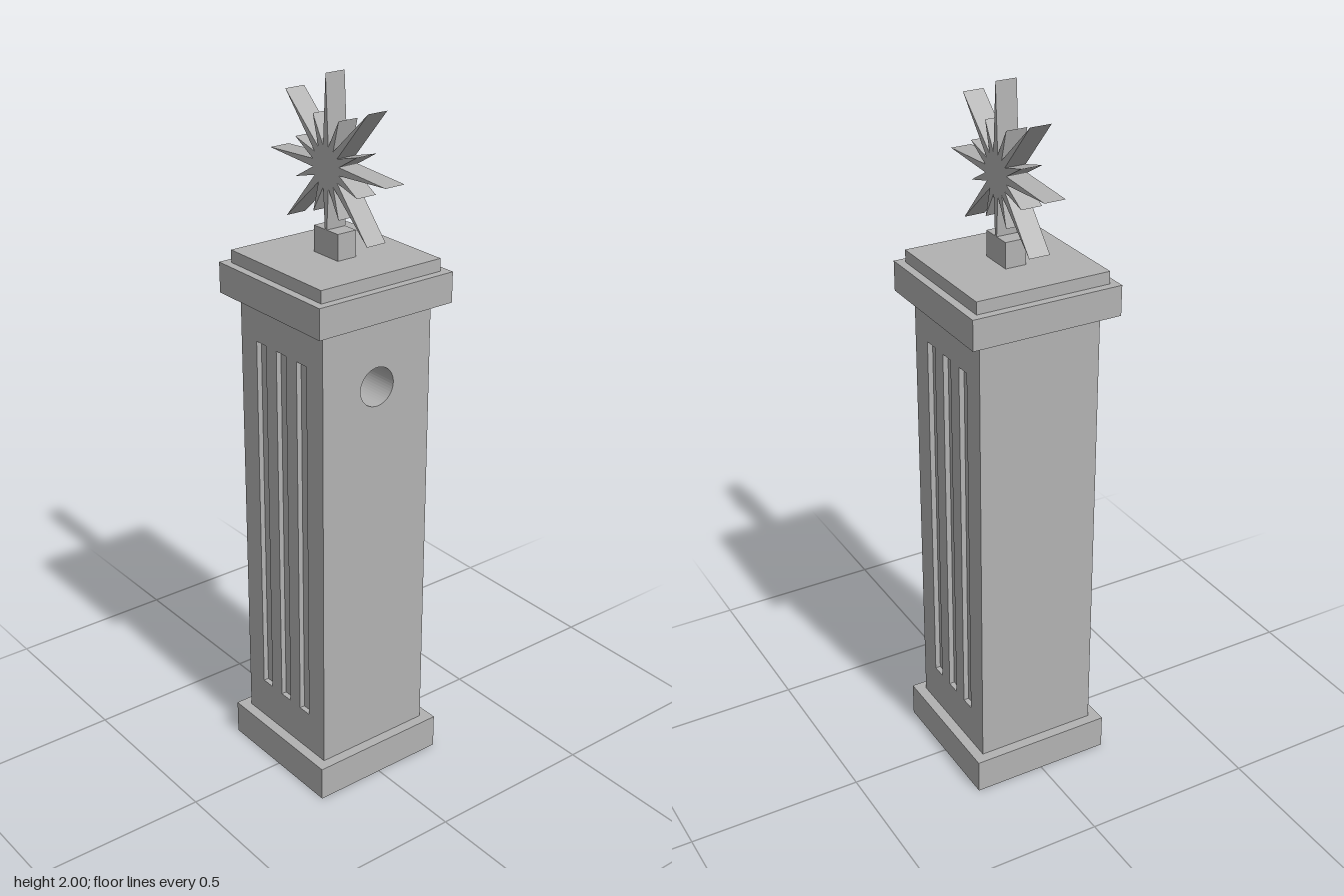
import * as THREE from 'three';

const stone = new THREE.MeshStandardMaterial({ color: 0xb2b2b2 });
stone.name = 'pale grey stone';

const rect = (Type, x0, y0, x1, y1) => {
  const s = new Type();
  s.moveTo(x0, y0);
  s.lineTo(x1, y0);
  s.lineTo(x1, y1);
  s.lineTo(x0, y1);
  s.closePath();
  return s;
};

const extrude = (shape, depth) =>
  new THREE.ExtrudeGeometry(shape, { depth, bevelEnabled: false, curveSegments: 24 });

export function createModel() {
  const model = new THREE.Group();
  model.name = 'pillar';

  const add = (name, geometry) => {
    const mesh = new THREE.Mesh(geometry, stone);
    mesh.name = name;
    model.add(mesh);
    return mesh;
  };

  // Box given by its lower and upper corners
  const block = (name, x0, y0, z0, x1, y1, z1) =>
    add(name, new THREE.BoxGeometry(x1 - x0, y1 - y0, z1 - z0))
      .position.set((x0 + x1) / 2, (y0 + y1) / 2, (z0 + z1) / 2);

  // Square slab with a square opening, from y0 to y1
  const frame = (name, halfX, halfZ, opening, y0, y1) => {
    const s = rect(THREE.Shape, -halfX, -halfZ, halfX, halfZ);
    s.holes.push(rect(THREE.Path, -opening, -opening, opening, opening));
    add(name, extrude(s, y1 - y0).rotateX(-Math.PI / 2).translate(0, y0, 0));
  };

  const half = 0.178, groove = 0.015, core = half - groove;
  const cavity = 0.128, ceiling = 0.2, shaftTop = 1.41, holeDepth = 0.12;

  // Hollow foot
  frame('base', 0.208, 0.208, cavity, 0, 0.1);
  frame('lowerShaft', half, core, cavity, 0.1, ceiling);

  // Solid shaft with a round hole in its left side
  const inner = half - holeDepth;
  block('shaftCore', -half, ceiling, -core, inner, shaftTop, core);
  const side = rect(THREE.Shape, -core, ceiling, core, shaftTop);
  const hole = new THREE.Path();
  hole.absarc(0, 1.21, 0.055, 0, Math.PI * 2, true);
  side.holes.push(hole);
  add('shaftSideWithHole', extrude(side, holeDepth).rotateY(Math.PI / 2).translate(inner, 0, 0));

  // Front and back plates with three tall grooves
  const plate = rect(THREE.Shape, -half, 0.1, half, shaftTop);
  for (const x of [-0.088, 0, 0.088]) {
    plate.holes.push(rect(THREE.Path, x - 0.021, 0.22, x + 0.021, 1.29));
  }
  add('frontGrooves', extrude(plate, groove).translate(0, 0, core));
  add('backGrooves', extrude(plate, groove).translate(0, 0, -half));

  // Stepped cap and star pedestal
  block('cap', -0.217, 1.405, -0.217, 0.217, 1.49, 0.217);
  block('capStep', -0.194, 1.49, -0.194, 0.194, 1.525, 0.194);
  block('pedestal', -0.05, 1.525, -0.03, 0.05, 1.597, 0.03);

  // Star with alternating long and short rays
  const star = new THREE.Shape();
  for (let i = 0; i < 32; i++) {
    const r = i % 2 ? 0.055 : i % 4 ? 0.138 : 0.238;
    const a = (i * Math.PI) / 16;
    star[i ? 'lineTo' : 'moveTo'](r * Math.cos(a), r * Math.sin(a));
  }
  star.closePath();
  add('star', extrude(star, 0.06).translate(0, 1.762, -0.03));

  return model;
}
